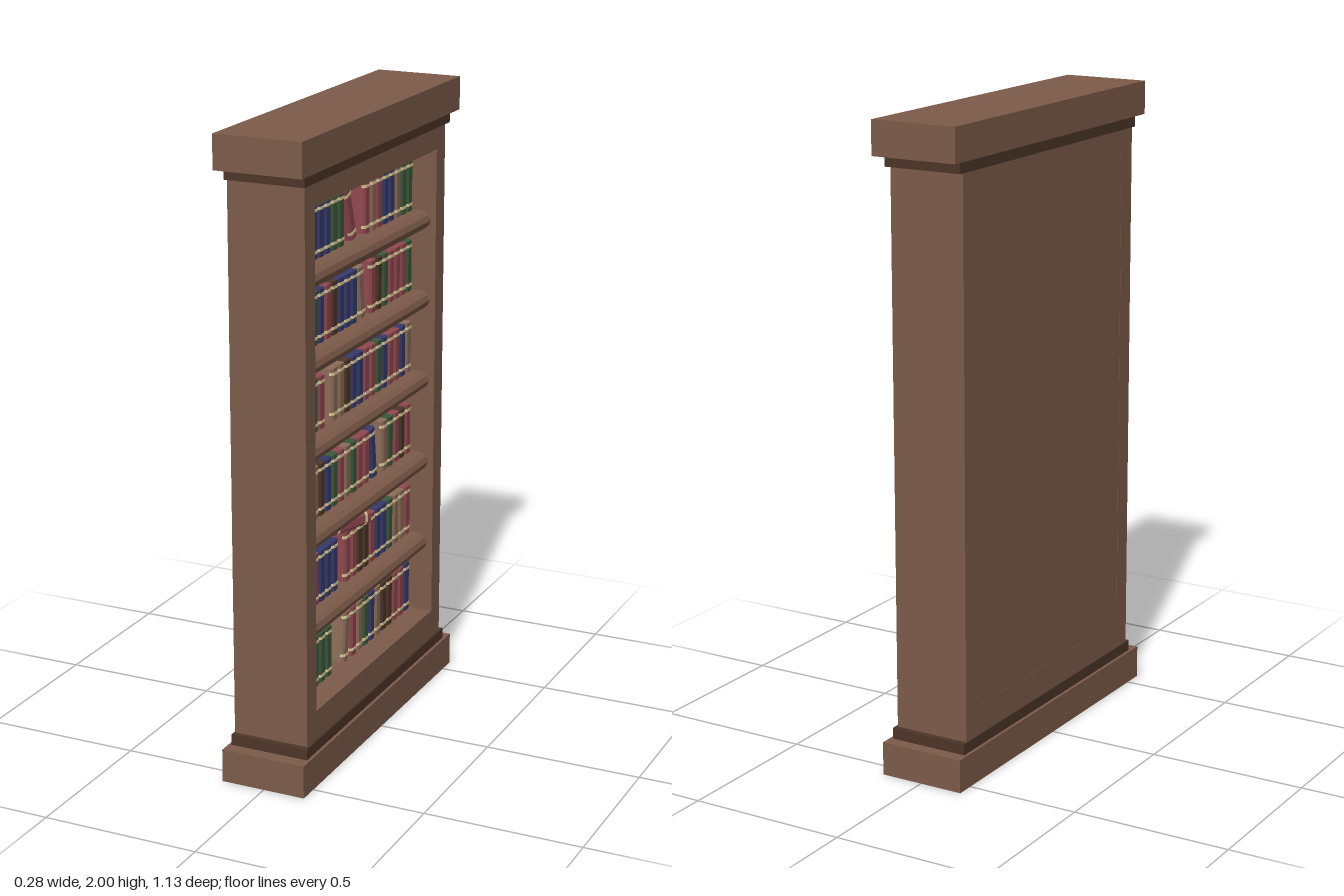
import * as THREE from 'three';

const mat = (color) => new THREE.MeshStandardMaterial({ color, flatShading: true });
const wood = mat(0x7d5b4a), darkWood = mat(0x4d3528), cream = mat(0xdccb98);
const covers = {
  R: mat(0x914850), B: mat(0x373a6c), G: mat(0x3b5a3b), T: mat(0x8c6c58), D: mat(0x4e3828),
};

const BOOK_H = 0.165, BOOK_T = 0.043, BOOK_D = 0.12, PITCH = 0.0459;
const SPINE_X = 0.04, OPEN_L = 0.44, OPEN_R = -0.435;

// Books, left to right (from +z to -z); '_' is an empty place
const rows = [
  { y: 1.588, books: 'BGRBBBGG___RTRBBTGG', lean: ['R', 0.004, 0.3] },
  { y: 1.327, books: 'RRGGBRDBBB__RDGRRRG', lean: ['T', -0.06, 0.12] },
  { y: 1.058, books: 'RRDGR_TTDBBRRGBRRBT' },
  { y: 0.782, books: 'GRRTDBGRTGRR__TGRDR', lean: ['B', -0.152, 0.13] },
  { y: 0.502, books: 'GGDRBBB_RRDDRBBGTTR' },
  { y: 0.232, books: 'DDBGGG___RTGBTDDRRB', lean: ['T', 0.066, -0.1] },
];

function box(name, material, [x0, x1], [y0, y1], [z0, z1]) {
  const m = new THREE.Mesh(new THREE.BoxGeometry(x1 - x0, y1 - y0, z1 - z0), material);
  m.position.set((x0 + x1) / 2, (y0 + y1) / 2, (z0 + z1) / 2);
  m.name = name;
  return m;
}

// Upright slab with a slightly rounded spine at +x
function spineSlab(back, front, thick, height) {
  const t = thick / 2;
  const s = new THREE.Shape([
    [back, -t], [front - 0.006, -t], [front, -t * 0.6], [front, t * 0.6], [front - 0.006, t], [back, t],
  ].map(([x, z]) => new THREE.Vector2(x, z)));
  return new THREE.ExtrudeGeometry(s, { depth: height, bevelEnabled: false }).rotateX(-Math.PI / 2);
}
const coverGeo = spineSlab(-BOOK_D / 2, BOOK_D / 2, BOOK_T, BOOK_H);
const bandGeo = spineSlab(BOOK_D / 2 - 0.012, BOOK_D / 2 + 0.0015, BOOK_T + 0.001, 0.009);

function makeBook(code) {
  const book = new THREE.Group();
  book.name = 'book';
  const cover = new THREE.Mesh(coverGeo, covers[code]);
  cover.name = 'bookCover';
  book.add(cover);
  for (const y of [0.017, 0.143]) {
    const band = new THREE.Mesh(bandGeo, cream);
    band.name = 'spineBand';
    band.position.y = y;
    book.add(band);
  }
  return book;
}

export function createModel() {
  const model = new THREE.Group();
  model.name = 'bookcase';

  // Plinth, cornice and their dark mouldings
  model.add(
    box('plinth', wood, [-0.14, 0.135], [0, 0.105], [-0.557, 0.565]),
    box('lowerMoulding', darkWood, [-0.13, 0.125], [0.105, 0.14], [-0.517, 0.522]),
    box('upperMoulding', darkWood, [-0.13, 0.125], [1.86, 1.895], [-0.52, 0.52]),
    box('cornice', wood, [-0.14, 0.14], [1.895, 2], [-0.563, 0.565]),
  );

  // Carcass: a frame around the opening, extruded through the depth
  const outline = (z0, z1, y0, y1) => [
    new THREE.Vector2(-z1, y0), new THREE.Vector2(-z0, y0),
    new THREE.Vector2(-z0, y1), new THREE.Vector2(-z1, y1),
  ];
  const frame = new THREE.Shape(outline(-0.5, 0.505, 0.14, 1.86));
  frame.holes.push(new THREE.Path(outline(OPEN_R, OPEN_L, 0.232, 1.788)));
  const carcass = new THREE.Mesh(
    new THREE.ExtrudeGeometry(frame, { depth: 0.245, bevelEnabled: false }).rotateY(Math.PI / 2), wood);
  carcass.position.x = -0.127;
  carcass.name = 'carcass';
  model.add(carcass, box('backPanel', wood, [-0.126, -0.085], [0.2, 1.82], [-0.46, 0.46]));

  // Shelves with a rounded nose, under every row but the lowest
  const h = 0.058;
  const profile = new THREE.Shape([
    [-0.09, -h], [0.078, -h], [0.093, -h * 0.8], [0.1, -h * 0.5], [0.093, -h * 0.2], [0.078, 0], [-0.09, 0],
  ].map(([x, y]) => new THREE.Vector2(x, y)));
  const shelfGeo = new THREE.ExtrudeGeometry(profile, { depth: OPEN_L - OPEN_R, bevelEnabled: false });
  for (const row of rows.slice(0, -1)) {
    const shelf = new THREE.Mesh(shelfGeo, wood);
    shelf.position.set(0, row.y, OPEN_R);
    shelf.name = 'shelf';
    model.add(shelf);
  }

  // Rows of books, some with one leaning into a gap
  const bookX = SPINE_X - BOOK_D / 2;
  for (const { y, books, lean } of rows) {
    const group = new THREE.Group();
    group.name = 'bookRow';
    [...books].forEach((code, i) => {
      if (code === '_') return;
      const book = makeBook(code);
      book.position.set(bookX, y, OPEN_L - 0.002 - PITCH * (i + 0.5));
      group.add(book);
    });
    if (lean) {
      const [code, z, angle] = lean;
      const book = makeBook(code);
      book.name = 'leaningBook';
      book.position.set(bookX, y + Math.abs(Math.sin(angle)) * BOOK_T / 2, z);
      book.rotation.x = angle;
      group.add(book);
    }
    model.add(group);
  }

  // Book lying askew on top of the fifth row
  const flat = makeBook('R');
  flat.name = 'lyingBook';
  flat.scale.z = 0.95;
  flat.rotation.set(Math.PI / 2, -0.3, 0, 'YXZ');
  flat.position.set(0.028, 0.69 + 0.0075, -0.04);
  model.add(flat);

  return model;
}
